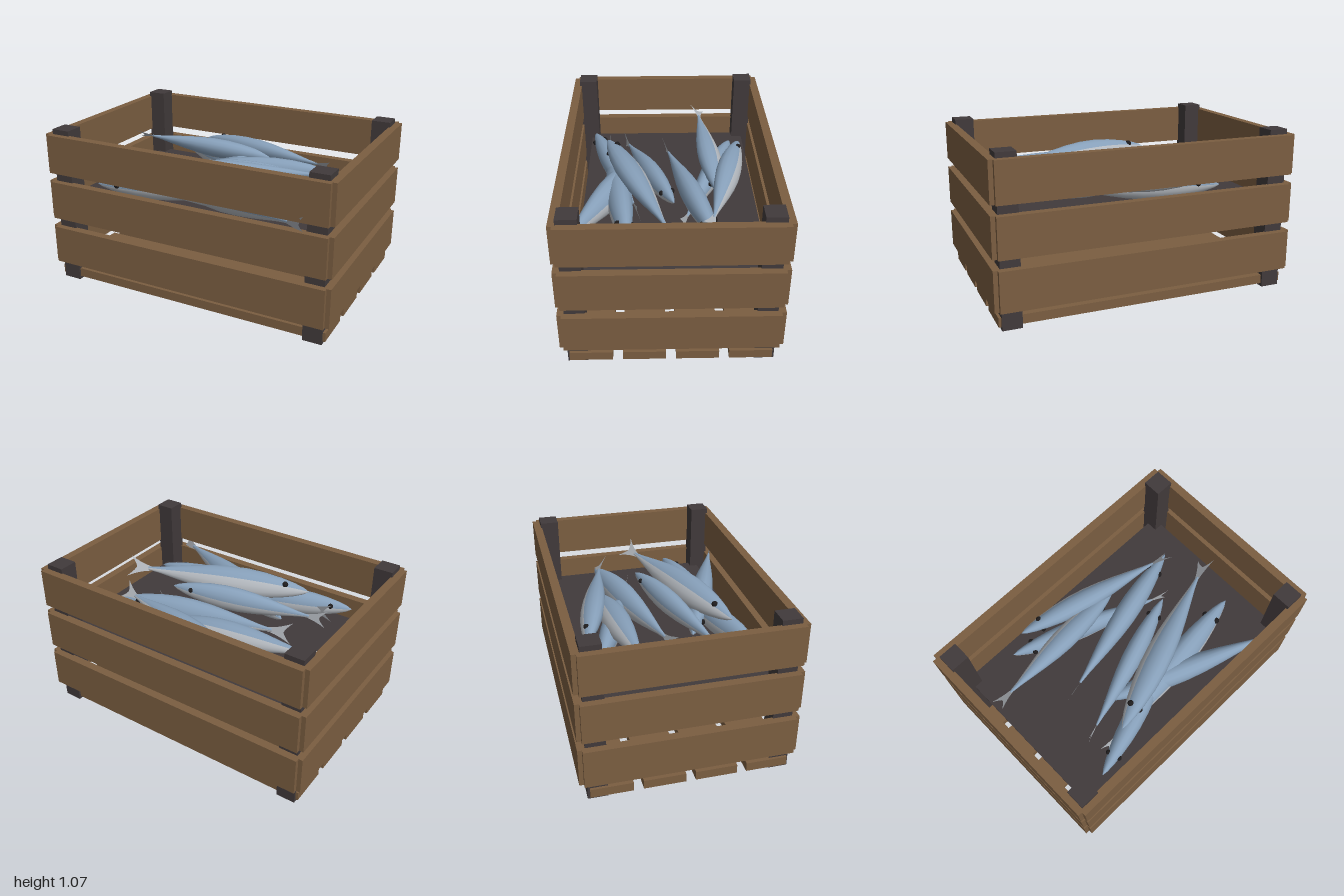
import * as THREE from 'three';

const mat = (name, color, side = THREE.FrontSide) => {
  const m = new THREE.MeshStandardMaterial({ color, side });
  m.name = name;
  return m;
};

export function createModel() {
  const wood = mat('wood', 0x7b5e41);
  const dark = mat('darkWood', 0x413a3b);
  const blue = mat('fishBack', 0x87a0ba);
  const grey = mat('fishBelly', 0xb4b9bf);
  const fin = mat('fishFin', 0xb0b5bb, THREE.DoubleSide);
  const black = mat('eyeBlack', 0x1e1c1d);

  const model = new THREE.Group();
  model.name = 'fishCrate';
  const crate = new THREE.Group();
  crate.name = 'crate';
  model.add(crate);

  // box given by its limits on each axis
  const box = (name, m, x0, x1, y0, y1, z0, z1) => {
    const b = new THREE.Mesh(new THREE.BoxGeometry(x1 - x0, y1 - y0, z1 - z0), m);
    b.position.set((x0 + x1) / 2, (y0 + y1) / 2, (z0 + z1) / 2);
    b.name = name;
    crate.add(b);
  };

  // three rows of wall boards
  for (const y of [0.13, 0.455, 0.778]) {
    const top = y + 0.259;
    box('frontBoard', wood, -0.972, 0.972, y, top, 0.617, 0.672);
    box('backBoard', wood, -0.972, 0.972, y, top, -0.698, -0.643);
    box('leftBoard', wood, 0.945, 1, y, top, -0.67, 0.645);
    box('rightBoard', wood, -1, -0.945, y, top, -0.67, 0.645);
  }
  // floor slats
  for (let i = 0; i < 4; i++) {
    const z = -0.636 + i * 0.329;
    box('floorSlat', wood, -0.972, 0.972, 0.02, 0.08, z, z + 0.267);
  }
  // corner posts
  for (const x of [-0.955, 0.83]) {
    for (const z of [-0.65, 0.505]) box('cornerPost', dark, x, x + 0.125, 0, 1.07, z, z + 0.125);
  }
  // dark tray under the fish
  box('tray', dark, -0.89, 0.89, 0.59, 0.6, -0.6, 0.56);

  // fish body of unit length: snout at x = 0, tail fin ending at x = 1
  const profile = [
    [0, 0.02], [0.03, 0.24], [0.08, 0.46], [0.15, 0.68], [0.24, 0.88], [0.34, 0.99],
    [0.44, 0.98], [0.54, 0.86], [0.64, 0.66], [0.74, 0.42], [0.82, 0.22], [0.89, 0.1],
  ];
  const H = 0.08, W = 0.061, N = 16;
  const pos = [], backFaces = [], bellyFaces = [];
  profile.forEach(([x, r], i) => {
    for (let j = 0; j < N; j++) {
      const a = -Math.PI / 2 + (j / N) * Math.PI * 2;
      pos.push(x, Math.cos(a) * r * H, Math.sin(a) * r * W);
      if (i === profile.length - 1) continue;
      const k = (j + 1) % N;
      const p = i * N + j, q = i * N + k;
      (j < N / 2 ? backFaces : bellyFaces).push(p, q, p + N, q, q + N, p + N);
    }
  });
  const bodyGeo = new THREE.BufferGeometry();
  bodyGeo.setAttribute('position', new THREE.Float32BufferAttribute(pos, 3));
  bodyGeo.setIndex([...backFaces, ...bellyFaces]);
  bodyGeo.addGroup(0, backFaces.length, 0);
  bodyGeo.addGroup(backFaces.length, bellyFaces.length, 1);
  bodyGeo.computeVertexNormals();

  // forked tail fin
  const tail = new THREE.Shape();
  tail.moveTo(0.85, 0.01);
  tail.quadraticCurveTo(0.92, 0.015, 1, 0.06);
  tail.quadraticCurveTo(0.96, 0.02, 0.955, 0);
  tail.quadraticCurveTo(0.96, -0.02, 1, -0.06);
  tail.quadraticCurveTo(0.92, -0.015, 0.85, -0.01);
  const tailGeo = new THREE.ShapeGeometry(tail, 5);
  const eyeGeo = new THREE.SphereGeometry(0.016, 10, 8);

  // roll tips the back of the fish towards the front (+z)
  const addFish = (head, end, roll) => {
    const h = new THREE.Vector3(...head);
    const dir = new THREE.Vector3(...end).sub(h);
    const length = dir.length();
    dir.normalize();
    const side = new THREE.Vector3(-dir.z, 0, dir.x).normalize();
    if (side.z < 0) side.negate();
    const up = new THREE.Vector3().crossVectors(side, dir);
    if (up.y < 0) up.negate();
    const back = up.multiplyScalar(Math.cos(roll)).addScaledVector(side, Math.sin(roll));
    const across = new THREE.Vector3().crossVectors(dir, back);

    const fish = new THREE.Group();
    fish.name = 'fish';
    const body = new THREE.Mesh(bodyGeo, [blue, grey]);
    body.name = 'fishBody';
    const tailFin = new THREE.Mesh(tailGeo, fin);
    tailFin.name = 'tailFin';
    fish.add(body, tailFin);
    for (const s of [-1, 1]) {
      const eye = new THREE.Mesh(eyeGeo, black);
      eye.name = 'eye';
      eye.position.set(0.125, 0.012, s * 0.033);
      fish.add(eye);
    }
    fish.quaternion.setFromRotationMatrix(new THREE.Matrix4().makeBasis(dir, back, across));
    fish.position.copy(h);
    fish.scale.setScalar(length);
    model.add(fish);
  };

  // snout, tail tip, roll
  [
    [[-0.44, 0.77, -0.53], [0.67, 0.79, -0.25], 0.75],
    [[-0.57, 0.7, -0.48], [0.5, 0.68, -0.08], 0.1],
    [[0.22, 0.75, -0.34], [-0.89, 0.82, -0.25], 0.95],
    [[0.68, 0.73, -0.29], [-0.52, 0.71, 0.01], 0.25],
    [[0.4, 0.8, -0.04], [-0.62, 0.7, 0.3], 0.05],
    [[-0.42, 0.8, 0.41], [0.81, 0.83, -0.03], 0.8],
    [[-0.7, 0.7, 0.52], [0.38, 0.7, 0.18], 0.2],
    [[0.72, 0.74, 0.25], [-0.6, 0.68, 0.42], -0.25],
    [[-0.35, 0.68, 0.17], [0.84, 0.75, 0.67], 0.3],
  ].forEach((f) => addFish(...f));

  return model;
}
